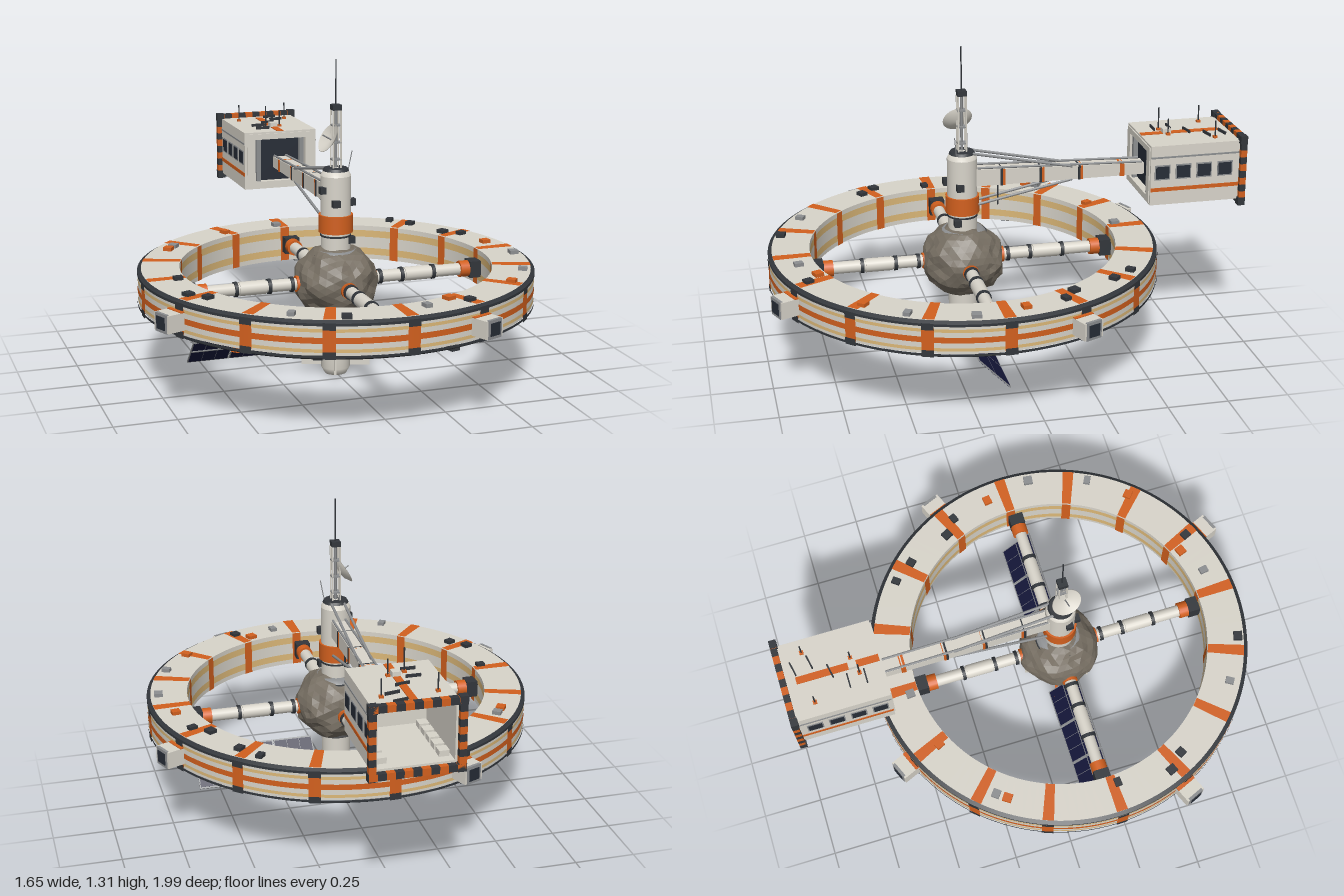
import * as THREE from 'three';

const paint = (name, color) => Object.assign(new THREE.MeshStandardMaterial({ color }), { name });
const hull = paint('hull white', 0xd8d4ca), orange = paint('signal orange', 0xd2601e);
const dark = paint('dark trim', 0x32363b), grey = paint('metal grey', 0x8c8e90);
const tan = paint('tan band', 0xdcb878), rock = paint('rock', 0x766e62);
const navy = paint('solar cell', 0x15173a), glass = paint('dark glass', 0x262c36);

const CZ = 0.17, RY = 0.395; // station axis and ring height

function add(parent, name, geo, mat, x = 0, y = 0, z = 0) {
  const m = new THREE.Mesh(geo, mat);
  m.name = name;
  m.position.set(x, y, z);
  parent.add(m);
  return m;
}
const box = (p, name, mat, w, h, d, x, y, z) => add(p, name, new THREE.BoxGeometry(w, h, d), mat, x, y, z);
function group(parent, name, x = 0, y = 0, z = 0, ry = 0) {
  const g = new THREE.Group();
  g.name = name;
  g.position.set(x, y, z);
  g.rotation.y = ry;
  parent.add(g);
  return g;
}
function lathe(p, name, mat, pts, seg = 32, start = 0, len = Math.PI * 2) {
  return add(p, name, new THREE.LatheGeometry(pts.map(a => new THREE.Vector2(...a)), seg, start, len), mat);
}
// closed drum standing on the group's axis
const drum = (p, name, mat, rTop, rBottom, y0, y1) =>
  add(p, name, new THREE.CylinderGeometry(rTop, rBottom, y1 - y0, 32), mat, 0, (y0 + y1) / 2, 0);
// drum lying along z
const pipe = (p, name, mat, r, z0, z1) =>
  add(p, name, new THREE.CylinderGeometry(r, r, z1 - z0, 20).rotateX(Math.PI / 2), mat, 0, 0, (z0 + z1) / 2);
function rod(p, name, mat, a, b, r = 0.004) {
  const A = new THREE.Vector3(...a), d = new THREE.Vector3(...b).sub(A);
  const m = add(p, name, new THREE.CylinderGeometry(r, r, d.length(), 8), mat);
  m.position.copy(A).addScaledVector(d, 0.5);
  m.quaternion.setFromUnitVectors(new THREE.Vector3(0, 1, 0), d.normalize());
}
// rectangular tube along z
function frameGeo(w, h, iw, ih, depth) {
  const rect = (T, a, b) => new T([[-a, -b], [a, -b], [a, b], [-a, b]].map(q => new THREE.Vector2(...q)));
  const s = rect(THREE.Shape, w / 2, h / 2);
  s.holes.push(rect(THREE.Path, iw / 2, ih / 2));
  return new THREE.ExtrudeGeometry(s, { depth, bevelEnabled: false });
}

function buildRing(root) {
  const g = group(root, 'habitatRing', 0, RY, CZ);
  // each band is a straight piece of the cross-section
  const bands = [
    ['rimLower', dark, [0.79, -0.075], [0.806, -0.066]], ['rimLowerWall', dark, [0.806, -0.066], [0.806, -0.056]],
    ['wall', hull, [0.803, -0.056], [0.803, 0.056]],
    ['rimUpperWall', dark, [0.806, 0.056], [0.806, 0.066]], ['rimUpper', dark, [0.806, 0.066], [0.79, 0.075]],
    ['roof', hull, [0.79, 0.075], [0.635, 0.075]], ['innerWall', hull, [0.635, 0.075], [0.635, -0.075]],
    ['floor', hull, [0.635, -0.075], [0.79, -0.075]],
    ['outerStripe', orange, [0.805, -0.011], [0.805, 0.012]],
    ['outerTanLow', tan, [0.8045, -0.045], [0.8045, -0.032]], ['outerTanHigh', tan, [0.8045, 0.032], [0.8045, 0.045]],
    ['innerTanHigh', tan, [0.6335, 0.055], [0.6335, 0.025]], ['innerTanLow', tan, [0.6335, -0.025], [0.6335, -0.055]],
  ];
  bands.forEach(([n, m, a, b]) => lathe(g, n, m, [a, b], 128));
  // sixteen orange segment joints with dark end blocks
  const w = 0.06;
  for (let i = 0; i < 16; i++) {
    const s = 0.033 + i * Math.PI / 8 - w / 2;
    const strip = (n, m, pts) => lathe(g, n, m, pts, 3, s, w);
    strip('jointRoof', orange, [[0.79, 0.0775], [0.636, 0.0775]]);
    strip('jointFloor', orange, [[0.636, -0.0775], [0.79, -0.0775]]);
    strip('jointWall', orange, [[0.807, -0.05], [0.807, 0.05]]);
    strip('jointInner', orange, [[0.632, 0.075], [0.632, -0.075]]);
    for (const k of [-1, 1]) strip('jointBlock', dark, [[0.809, k * 0.055 - 0.014], [0.809, k * 0.055 + 0.014]]);
  }
  // docking pods
  for (let i = 0; i < 4; i++) {
    const p = group(g, 'dockingPod', 0, 0, 0, 0.403 + i * Math.PI / 2);
    box(p, 'podBody', hull, 0.088, 0.07, 0.1, 0, 0, 0.828);
    box(p, 'podRim', grey, 0.07, 0.074, 0.012, 0, 0, 0.875);
    box(p, 'podHatch', glass, 0.05, 0.05, 0.006, 0, 0, 0.881);
    box(p, 'podRoofStripe', orange, 0.088, 0.004, 0.02, 0, 0.036, 0.81);
  }
  // roof and floor equipment: x, z from the axis, colour
  const kit = [[-0.3, -0.615, orange], [-0.57, -0.45, grey], [-0.6, -0.41, orange], [0.46, -0.59, dark],
    [0.525, -0.505, dark], [0.605, -0.32, dark], [0.67, -0.27, dark], [0.71, -0.105, orange], [0.75, 0.095, grey],
    [0.675, 0.345, grey], [0.557, 0.495, orange], [0.235, 0.63, orange], [0.12, 0.695, grey], [0.3, 0.675, dark],
    [-0.21, 0.735, dark], [-0.39, 0.635, grey], [-0.625, 0.335, dark], [-0.685, 0.275, dark], [-0.67, 0.045, dark],
    [-0.05, -0.67, grey]];
  kit.forEach(([x, z, m], i) => {
    const w = 0.028 + (i % 3) * 0.005;
    for (const k of [-1, 1])
      box(g, 'equipmentBox', m, w, 0.016, 0.036, k * x, k * 0.082, z).rotation.y = k * Math.atan2(x, z);
  });
}

function buildCore(root) {
  const g = group(root, 'core', 0, 0, CZ);
  // lumpy rock with facets
  const geo = new THREE.IcosahedronGeometry(1, 5), p = geo.attributes.position, v = new THREE.Vector3();
  for (let i = 0; i < p.count; i++) {
    v.fromBufferAttribute(p, i);
    const n = Math.sin(v.x * 7 + 1.3 * v.y) * Math.sin(v.y * 6 + 2 * v.z) + 0.6 * Math.sin(v.z * 11 + v.x * 5) * Math.cos(v.y * 9);
    v.multiplyScalar(0.17 + 0.009 * Math.round(n * 2) / 2);
    p.setXYZ(i, v.x, v.y * 0.88, v.z);
  }
  const flat = geo.index ? geo.toNonIndexed() : geo;
  flat.computeVertexNormals();
  add(g, 'rockHub', flat, rock, 0, RY, 0);
  lathe(g, 'upperCollar', grey, [[0.11, 0.485], [0.1, 0.51], [0.08, 0.53], [0, 0.53]]);
  lathe(g, 'lowerCollar', grey, [[0, 0.25], [0.09, 0.262], [0.105, 0.3]]);
  drum(g, 'collarRing', dark, 0.1, 0.102, 0.506, 0.514);
  // upper column
  drum(g, 'neck', hull, 0.06, 0.06, 0.52, 0.61);
  drum(g, 'neckRing', dark, 0.063, 0.063, 0.585, 0.592);
  drum(g, 'upperOrangeBand', orange, 0.07, 0.07, 0.602, 0.675);
  drum(g, 'upperColumn', hull, 0.062, 0.062, 0.675, 0.835);
  lathe(g, 'columnCap', hull, [[0.062, 0.835], [0.05, 0.86], [0, 0.868]]);
  drum(g, 'capRing', dark, 0.048, 0.054, 0.855, 0.866);
  [[-0.06, 0.78, 0.02], [0.06, 0.725, 0.02], [0.055, 0.57, 0.03], [-0.02, 0.73, 0.062]].forEach(q =>
    box(g, 'columnBox', dark, 0.03, 0.028, 0.03, ...q));
  // lower column
  drum(g, 'lowerColumn', hull, 0.063, 0.06, 0.14, 0.31);
  drum(g, 'lowerOrangeBand', orange, 0.068, 0.068, 0.112, 0.152);
  lathe(g, 'engineBell', hull, [[0, 0], [0.045, 0.002], [0.06, 0.03], [0.06, 0.112]]);
  drum(g, 'engineNozzle', dark, 0.032, 0.032, -0.0005, 0.01);
  for (let i = 0; i < 4; i++) {
    const f = group(g, 'radiatorFin', 0, 0, 0, -0.33 + i * Math.PI / 2);
    box(f, 'finPlate', hull, 0.01, 0.068, 0.09, 0, 0.069, 0.096);
    box(f, 'finEdge', orange, 0.013, 0.008, 0.09, 0, 0.106, 0.096);
  }
  // antenna mast
  for (const x of [-0.016, 0.016]) for (const z of [-0.016, 0.016])
    rod(g, 'mastPost', hull, [x, 0.86, z], [x, 1.1, z], 0.004);
  rod(g, 'mastCore', grey, [0, 0.86, 0], [0, 1.1, 0], 0.006);
  for (const y of [0.9, 0.97, 1.04]) box(g, 'mastBrace', grey, 0.038, 0.006, 0.038, 0, y, 0);
  box(g, 'mastHead', dark, 0.038, 0.022, 0.038, 0, 1.112, 0);
  rod(g, 'antenna', dark, [0, 1.12, 0], [0, 1.305, 0], 0.003);
  const dish = lathe(g, 'dish', hull, [[0, 0], [0.035, 0.006], [0.062, 0.022], [0.06, 0.024], [0.034, 0.011], [0, 0.005]]);
  dish.position.set(-0.018, 0.98, 0.008);
  dish.quaternion.setFromUnitVectors(new THREE.Vector3(0, 1, 0), new THREE.Vector3(-0.86, 0.5, 0.1).normalize());
  rod(g, 'dishFeed', grey, [-0.018, 0.98, 0.008], [-0.06, 1.005, 0.013], 0.003);
  rod(g, 'whip', grey, [0.04, 0.85, 0.03], [0.055, 0.94, 0.04], 0.002);
}

function buildSpokes(root) {
  for (let i = 0; i < 4; i++) {
    const s = group(root, 'spoke', 0, RY, CZ, i * Math.PI / 2);
    pipe(s, 'spokeTube', hull, 0.025, 0.12, 0.63);
    pipe(s, 'spokeSleeve', hull, 0.029, 0.3, 0.41);
    pipe(s, 'spokeRoot', orange, 0.033, 0.14, 0.172);
    for (const z of [0.19, 0.285, 0.425]) pipe(s, 'spokeRing', dark, 0.031, z - 0.007, z + 0.007);
    pipe(s, 'spokeOrange', orange, 0.034, 0.545, 0.585);
    box(s, 'spokeSocket', dark, 0.064, 0.07, 0.05, 0, 0, 0.61);
  }
}

function buildSolar(root) {
  rod(root, 'solarSpar', grey, [-0.61, 0.153, CZ], [0.61, 0.153, CZ], 0.006);
  for (const side of [-1, 1]) {
    const g = group(root, 'solarWing', side * 0.355, 0.153, 0.167);
    g.rotation.x = 0.77;
    for (let m = -1; m <= 1; m++) {
      box(g, 'solarFrame', grey, 0.17, 0.182, 0.005, m * 0.174, 0, 0);
      for (let c = -1; c <= 1; c++) for (const r of [-1, 1])
        box(g, 'solarCell', navy, 0.052, 0.081, 0.008, m * 0.174 + c * 0.0545, r * 0.0435, 0);
    }
  }
}

function buildArm(root) {
  const g = group(root, 'arm');
  const beam = new THREE.BoxGeometry(0.062, 0.072, 0.72), p = beam.attributes.position;
  for (let i = 0; i < p.count; i++) if (p.getZ(i) < 0 && p.getY(i) > 0) p.setY(i, 0.012);
  beam.computeVertexNormals();
  add(g, 'armBeam', beam, hull, 0, 0.752, -0.24);
  [0.01, -0.155, -0.32, -0.5].forEach((z, i) => {
    const h = 0.06 + z * 0.033 + 0.01;
    box(g, 'armBand', i === 3 ? orange : dark, 0.068, h, 0.01, 0, 0.714 + h / 2, z);
    box(g, 'armBandOrange', orange, 0.067, h - 0.001, 0.01, 0, 0.714 + h / 2, z - 0.01);
  });
  for (const x of [-0.027, 0.027]) {
    rod(g, 'armRail', grey, [x, 0.794, 0.11], [x, 0.77, -0.59], 0.005);
    rod(g, 'upperStay', grey, [x, 0.86, 0.14], [x, 0.772, -0.29], 0.006);
    rod(g, 'lowerStay', grey, [x, 0.63, 0.14], [x, 0.716, -0.29], 0.006);
  }
  rod(g, 'armProbe', dark, [0, 0.72, 0.02], [0, 0.62, 0.02], 0.004);
}

function buildHangar(root) {
  const g = group(root, 'hangar', 0, 0.752, 0);
  add(g, 'hangarShell', frameGeo(0.33, 0.256, 0.296, 0.222, 0.385), hull, 0, 0, -0.972);
  add(g, 'frontFrame', frameGeo(0.31, 0.24, 0.234, 0.19, 0.03), hull, 0, 0, -0.612);
  box(g, 'frontPanel', glass, 0.3, 0.23, 0.008, 0, 0, -0.616);
  box(g, 'hangarBackWall', hull, 0.296, 0.222, 0.008, 0, 0, -0.626);
  for (const x of [-1, 1]) {
    box(g, 'frontPillar', grey, 0.02, 0.19, 0.02, x * 0.1, 0, -0.6);
    for (let i = 0; i < 4; i++) {
      const z = -0.637 - i * 0.09;
      box(g, 'windowFrame', grey, 0.006, 0.064, 0.066, x * 0.165, 0.013, z);
      box(g, 'window', glass, 0.008, 0.052, 0.056, x * 0.166, 0.013, z);
    }
    box(g, 'sideStripe', orange, 0.005, 0.016, 0.38, x * 0.165, -0.061, -0.778);
    box(g, 'sideRail', grey, 0.006, 0.007, 0.38, x * 0.165, 0.078, -0.778);
    // cargo along the hangar floor
    for (let i = 0; i < 5; i++) box(g, 'cargoCrate', hull, 0.04, 0.025, 0.045, x * 0.12, -0.1, -0.67 - i * 0.06);
  }
  // striped door frame
  const stripes = (len, n, place) => {
    for (let i = 0; i < n; i++) place((i + 0.5) * len / n - len / 2, len / n, i % 2 ? dark : orange);
  };
  for (const k of [-1, 1]) {
    stripes(0.37, 11, (t, l, m) => box(g, 'doorFrame', m, l, 0.028, 0.026, t, k * 0.134, -0.982));
    stripes(0.24, 8, (t, l, m) => box(g, 'doorFrame', m, 0.028, l, 0.026, k * 0.171, t, -0.982));
    for (const y of [-1, 1]) box(g, 'doorCorner', dark, 0.034, 0.034, 0.03, k * 0.17, y * 0.134, -0.98);
  }
  // roof details
  box(g, 'roofStripe', orange, 0.03, 0.006, 0.34, 0, 0.128, -0.76);
  box(g, 'roofBox', hull, 0.034, 0.022, 0.034, 0, 0.138, -0.7);
  [[-0.06, -0.66], [-0.06, -0.73], [0, -0.79], [0.06, -0.86], [0.05, -0.93]].forEach(([x, z], i) => {
    box(g, 'roofHandrail', dark, 0.06, 0.012, 0.006, x, 0.134, z).rotation.y = i < 2 ? 0 : 0.2;
  });
  [[-0.108, -0.88, 0.075], [0.108, -0.88, 0.075], [-0.04, -0.68, 0.1], [0.03, -0.7, 0.07]].forEach(([x, z, h]) => {
    rod(g, 'roofAerial', dark, [x, 0.128, z], [x, 0.128 + h, z], 0.003);
    box(g, 'aerialBase', orange, 0.016, 0.01, 0.016, x, 0.132, z);
  });
}

export function createModel() {
  const root = new THREE.Group();
  root.name = 'spaceStation';
  [buildRing, buildCore, buildSpokes, buildSolar, buildArm, buildHangar].forEach(build => build(root));
  return root;
}
